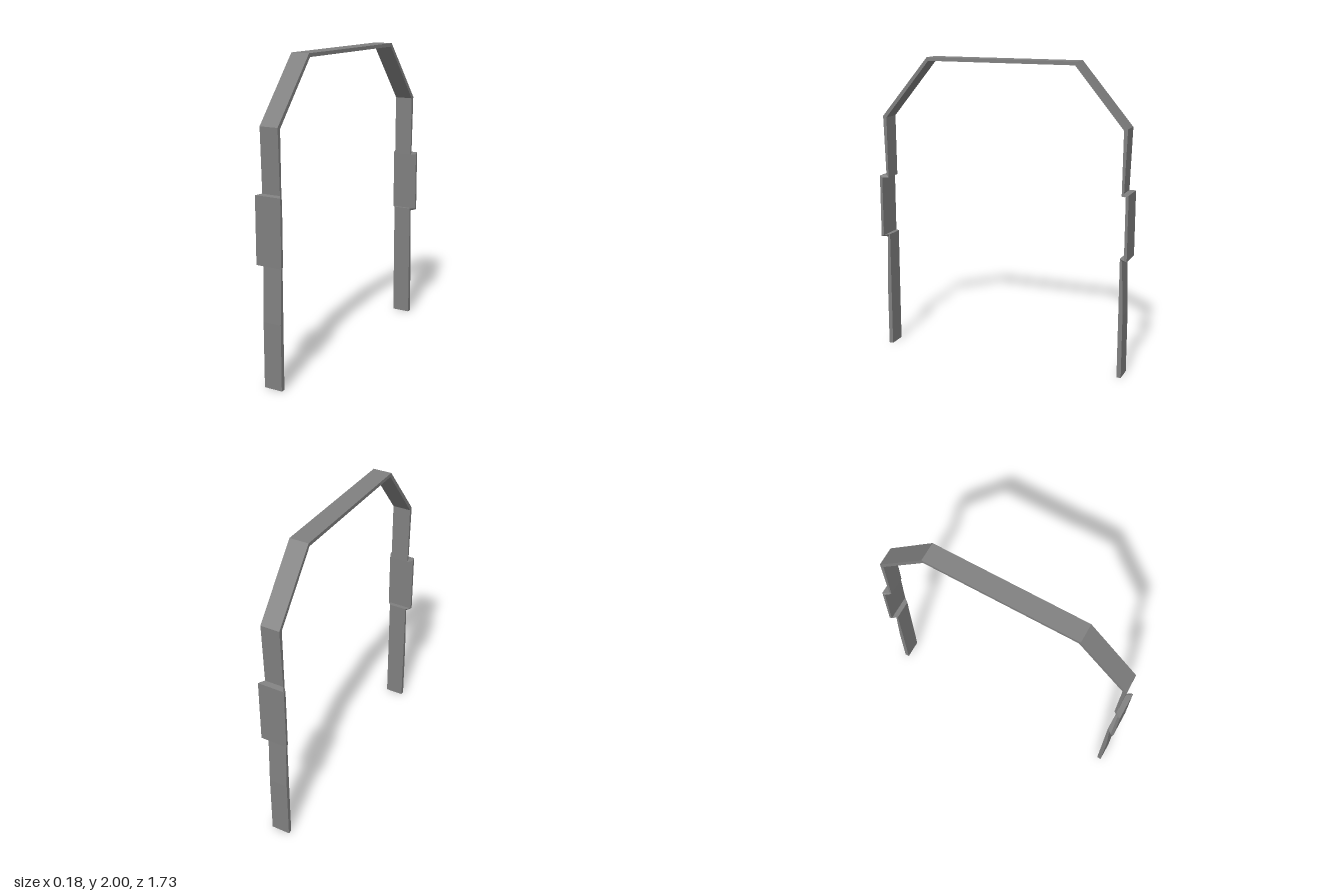
import * as THREE from 'three';

const NARROW = 0.0625, WIDE = 0.089;

// Sections along the band: [outer z, outer y, inner z, inner y, half width]
const shoulder = [0.84, 1.604, 0.815, 1.595, NARROW];
const panelTop = [0.827, 1.207, 0.812, 1.188, NARROW];
const panelBottom = [0.827, 0.774, 0.812, 0.79, NARROW];

const lowerPost = [
  [0.84, 0, 0.812, 0, NARROW],
  [0.84, 0.42, 0.812, 0.42, NARROW],
  panelBottom,
];
const sidePanel = [
  panelBottom,
  [0.863, 0.779, 0.845, 0.787, WIDE],
  [0.863, 1.202, 0.845, 1.19, WIDE],
  panelTop,
];
const upperPost = [panelTop, shoulder];
const corner = [0.508, 2, 0.498, 1.977, NARROW];
const flip = ([oz, oy, iz, iy, w]) => [-oz, oy, -iz, iy, w];
const arch = [shoulder, corner, flip(corner), flip(shoulder)];

// Joins rectangular sections into a faceted band, optionally closing its start
function loft(name, sections, material, capStart = false) {
  const rings = sections.map(([oz, oy, iz, iy, w]) => [
    [w, oy, oz], [-w, oy, oz], [-w, iy, iz], [w, iy, iz],
  ]);
  const positions = [];
  const quad = (a, b, c, d) => positions.push(...a, ...b, ...c, ...a, ...c, ...d);
  for (let s = 0; s < rings.length - 1; s++) {
    const lower = rings[s], upper = rings[s + 1];
    for (let i = 0; i < 4; i++) {
      const j = (i + 1) % 4;
      quad(lower[j], lower[i], upper[i], upper[j]);
    }
  }
  if (capStart) quad(...rings[0]);
  const geometry = new THREE.BufferGeometry();
  geometry.setAttribute('position', new THREE.Float32BufferAttribute(positions, 3));
  geometry.computeVertexNormals();
  const mesh = new THREE.Mesh(geometry, material);
  mesh.name = name;
  return mesh;
}

export function createModel() {
  const material = new THREE.MeshStandardMaterial({ color: 0x808080, flatShading: true });
  const model = new THREE.Group();
  model.name = 'archFrame';

  // Two identical legs, the back one turned half way round
  for (const side of ['front', 'back']) {
    const leg = new THREE.Group();
    leg.name = `${side}Leg`;
    leg.add(
      loft('lowerPost', lowerPost, material, true),
      loft('sidePanel', sidePanel, material),
      loft('upperPost', upperPost, material),
    );
    if (side === 'back') leg.rotation.y = Math.PI;
    model.add(leg);
  }

  // Sloped shoulders and top beam
  model.add(loft('topArch', arch, material));
  return model;
}
